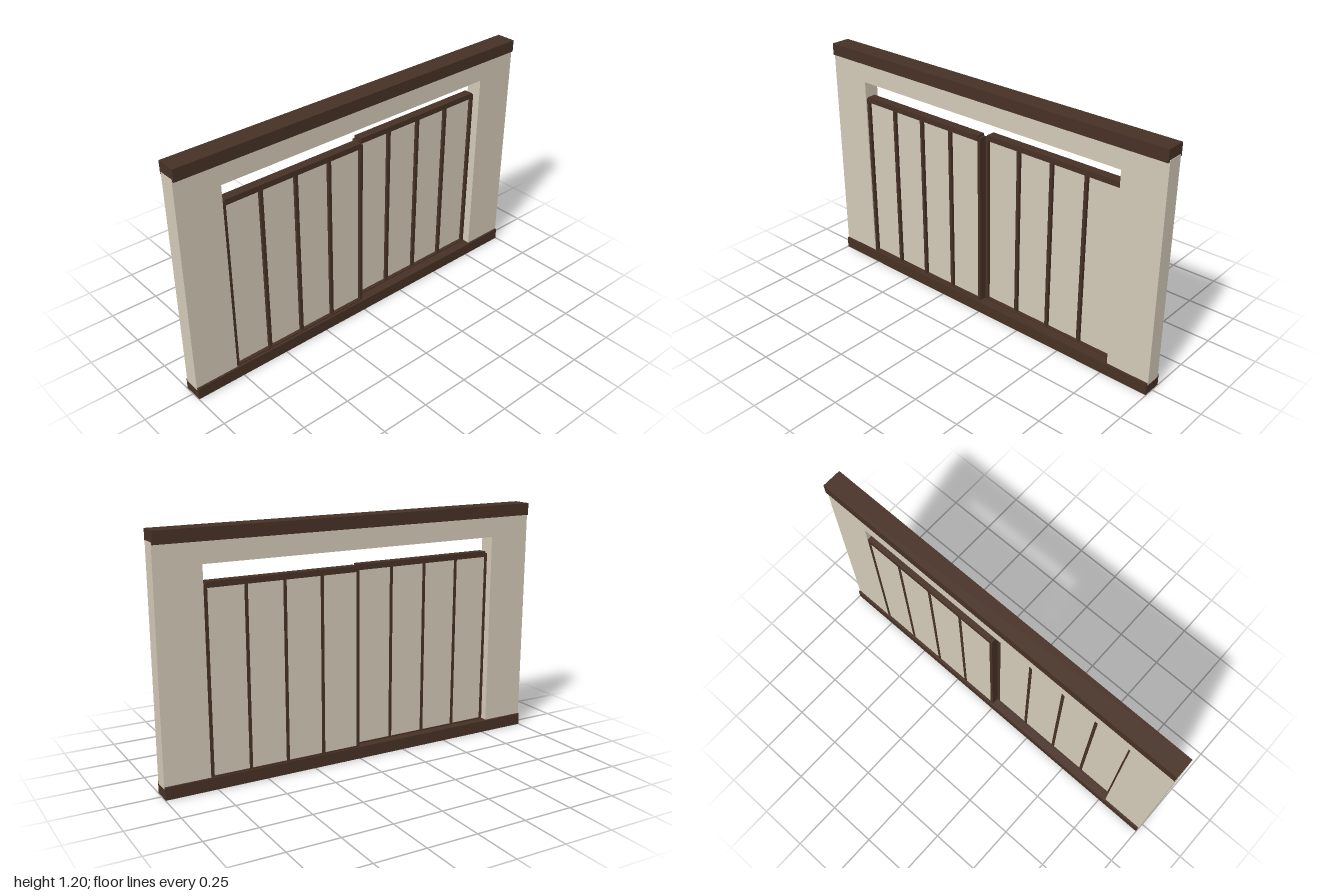
import * as THREE from 'three';

const plaster = new THREE.MeshStandardMaterial({ color: 0xd3c9b7 });
const wood = new THREE.MeshStandardMaterial({ color: 0x473125 });

// Box given by its min and max on each axis
function box(parent, name, material, [x0, x1], [y0, y1], [z0, z1]) {
  const mesh = new THREE.Mesh(new THREE.BoxGeometry(x1 - x0, y1 - y0, z1 - z0), material);
  mesh.position.set((x0 + x1) / 2, (y0 + y1) / 2, (z0 + z1) / 2);
  mesh.name = name;
  parent.add(mesh);
}

// Sliding door: five stiles, four panels set toward the back, top and bottom rails
function slidingDoor(name, x, z) {
  const door = new THREE.Group();
  door.name = name;
  const half = 0.38, pitch = 0.19;
  for (let i = 0; i < 5; i++) {
    const c = -half + i * pitch;
    box(door, 'stile', wood, [c - 0.008, c + 0.008], [0.04, 0.952], [-0.02, 0.02]);
    if (i < 4) {
      box(door, 'panel', plaster, [c + 0.008, c + pitch - 0.008], [0.05, 0.94], [-0.018, 0.005]);
    }
  }
  box(door, 'topRail', wood, [-half + 0.005, half - 0.005], [0.935, 0.963], [-0.023, 0.023]);
  box(door, 'bottomRail', wood, [-half + 0.005, half - 0.005], [0.035, 0.066], [-0.023, 0.023]);
  door.position.set(x, 0, z);
  return door;
}

export function createModel() {
  const model = new THREE.Group();
  model.name = 'slidingDoorWall';

  // Beams along the floor and the top
  box(model, 'bottomBeam', wood, [-0.998, 0.998], [0, 0.06], [-0.05, 0.05]);
  box(model, 'topBeam', wood, [-0.998, 0.998], [1.14, 1.2], [-0.05, 0.05]);

  // Wall sections around the opening
  box(model, 'rightWall', plaster, [-1, -0.778], [0.05, 1.15], [-0.04, 0.04]);
  box(model, 'leftWall', plaster, [0.778, 1], [0.05, 1.15], [-0.04, 0.04]);
  box(model, 'lintel', plaster, [-0.778, 0.778], [1.04, 1.15], [-0.04, 0.04]);

  // Two doors on separate tracks
  model.add(slidingDoor('frontDoor', -0.389, 0.015));
  model.add(slidingDoor('backDoor', 0.389, -0.02));
  return model;
}
